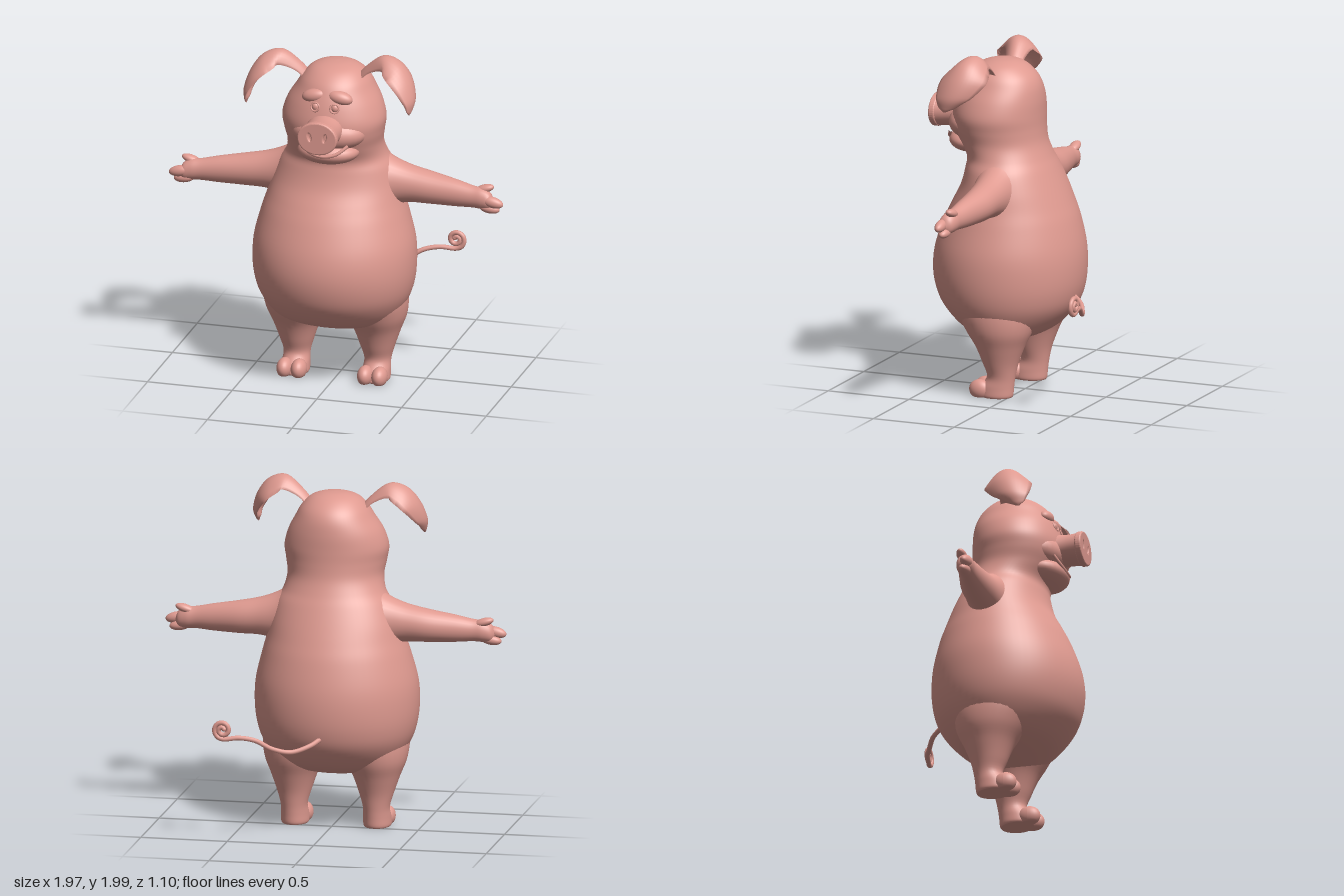
import * as THREE from 'three';

const skin = new THREE.MeshStandardMaterial({ color: 0xdf9a90 });
skin.name = 'pinkSkin';
const V = (x, y, z) => new THREE.Vector3(x, y, z);

function part(name, geometry, parent) {
  const mesh = new THREE.Mesh(geometry, skin);
  mesh.name = name;
  parent.add(mesh);
  return mesh;
}

// Smoothly resample rows of numbers, column by column
function smooth(rows, n) {
  const curves = rows[0].map((_, c) => new THREE.SplineCurve(rows.map(r => new THREE.Vector2(r[c], 0))));
  return Array.from({ length: n + 1 }, (_, i) => curves.map(c => c.getPoint(i / n).x));
}

// Skin a list of closed rings, cap both ends, and turn the faces outwards
function skinRings(rings) {
  const m = rings[0].length, pts = rings.flat(), index = [];
  for (let i = 0; i < rings.length - 1; i++) {
    for (let j = 0; j < m; j++) {
      const a = i * m + j, b = i * m + (j + 1) % m;
      index.push(a, b, a + m, b, b + m, a + m);
    }
  }
  [0, rings.length - 1].forEach((r, end) => {
    const c = pts.length;
    const mid = rings[r].reduce((s, p) => s.add(p), V(0, 0, 0)).divideScalar(m);
    pts.push(mid);
    for (let j = 0; j < m; j++) {
      const a = r * m + j, b = r * m + (j + 1) % m;
      index.push(...(end ? [a, b, c] : [b, a, c]));
    }
  });
  let volume = 0;
  for (let i = 0; i < index.length; i += 3) {
    volume += pts[index[i]].dot(V(0, 0, 0).crossVectors(pts[index[i + 1]], pts[index[i + 2]]));
  }
  if (volume < 0) index.reverse();
  const g = new THREE.BufferGeometry().setFromPoints(pts);
  g.setIndex(index);
  g.computeVertexNormals();
  return g;
}

// Elliptical loft; place(row, cos, sin) gives a point of the ring
function loft(rows, n, sides, place) {
  return skinRings(smooth(rows, n).map(r => Array.from({ length: sides }, (_, j) => {
    const a = j / sides * Math.PI * 2;
    return place(r, Math.cos(a), Math.sin(a));
  })));
}

function blob(name, parent, [x, y, z], [rx, ry, rz], tilt = 0) {
  const mesh = part(name, new THREE.SphereGeometry(1, 32, 20), parent);
  mesh.position.set(x, y, z);
  mesh.scale.set(rx, ry, rz);
  mesh.rotation.z = tilt;
  return mesh;
}

function tube(name, parent, points, radius, segments = 32) {
  return part(name, new THREE.TubeGeometry(new THREE.CatmullRomCurve3(points), segments, radius, 10), parent);
}

function addFace(group) {
  const face = new THREE.Group();
  face.name = 'face';
  face.position.x = 0.013;
  group.add(face);

  // Muzzle above, lower jaw below, with a smiling lip between
  blob('muzzle', face, [0, 1.55, 0.29], [0.22, 0.11, 0.15]);
  blob('lowerJaw', face, [0, 1.44, 0.305], [0.18, 0.075, 0.138]);
  tube('smile', face, [V(-0.14, 1.505, 0.395), V(-0.075, 1.457, 0.428), V(0, 1.442, 0.438),
    V(0.075, 1.457, 0.428), V(0.14, 1.505, 0.395)], 0.01);

  // Snout: flared stem and a disc pierced by two nostrils
  part('snout', loft([[0.34, 0.115, 0.1], [0.43, 0.106, 0.088], [0.49, 0.108, 0.089], [0.525, 0.112, 0.094]], 12, 40,
    ([z, rx, ry], c, s) => V(rx * c, 1.585 + ry * s, z)), face);
  const disc = new THREE.Shape().absellipse(0, 0, 0.108, 0.088, 0, Math.PI * 2);
  for (const s of [-1, 1]) {
    disc.holes.push(new THREE.Path().absellipse(s * 0.045, 0.008, 0.017, 0.032, 0, Math.PI * 2, true, -s * 0.2));
  }
  part('snoutDisc', new THREE.ExtrudeGeometry(disc, {
    depth: 0.02, bevelSize: 0.009, bevelThickness: 0.009, bevelSegments: 4, curveSegments: 24
  }), face).position.set(0, 1.585, 0.519);

  // Eyes: small domes inside thin lids, below soft brows
  for (const s of [-1, 1]) {
    blob('eye', face, [s * 0.057, 1.718, 0.38], [0.02, 0.022, 0.014]);
    const lid = part('eyelid', new THREE.TorusGeometry(0.025, 0.005, 8, 28), face);
    lid.position.set(s * 0.057, 1.718, 0.386);
    lid.rotation.set(-0.25, s * 0.2, 0);
    blob('brow', face, [s * 0.075, 1.77, 0.335], [0.075, 0.04, 0.042], -s * 0.2);
  }
}

// Drooping cupped ear: crescent sections along an arching path
function addEar(group, s) {
  const rows = smooth([
    [0.13, 1.84, 0.15, 0.05, 0.03], [0.2, 1.92, 0.16, 0.06, 0.04], [0.3, 1.992, 0.18, 0.095, 0.075],
    [0.4, 1.968, 0.195, 0.125, 0.09], [0.47, 1.885, 0.21, 0.14, 0.075], [0.505, 1.78, 0.245, 0.105, 0.045],
    [0.497, 1.715, 0.275, 0.055, 0.02], [0.485, 1.69, 0.29, 0.01, 0.004]], 40);
  const n = 14;
  const rings = rows.map((r, i) => {
    const a = rows[Math.max(i - 1, 0)], b = rows[Math.min(i + 1, rows.length - 1)];
    const dx = b[0] - a[0], dy = b[1] - a[1], len = Math.hypot(dx, dy);
    const ring = [];
    for (let k = 0; k < 2 * n; k++) {
      const u = k <= n ? -1 + 2 * k / n : 3 - 2 * k / n;
      const drop = r[4] * u * u + (k > n ? 0.032 : 0) * (1 - u * u) * Math.min(1, r[3] / 0.06);
      ring.push(V(s * (r[0] + dy / len * drop), r[1] - dx / len * drop, r[2] + u * r[3]));
    }
    return ring;
  });
  const ear = part(s > 0 ? 'leftEar' : 'rightEar', skinRings(rings), group);
  if (s < 0) ear.position.set(0.005, -0.022, 0);
}

function addArm(group, s) {
  const arm = new THREE.Group();
  arm.name = s > 0 ? 'leftArm' : 'rightArm';
  group.add(arm);
  part('armAndPalm', loft([
    [0.12, 1.2, 0.07, 0.23, 0.2], [0.24, 1.205, 0.068, 0.185, 0.15], [0.32, 1.2, 0.062, 0.142, 0.118],
    [0.42, 1.193, 0.06, 0.11, 0.1], [0.55, 1.18, 0.062, 0.094, 0.088], [0.7, 1.168, 0.075, 0.078, 0.066],
    [0.8, 1.16, 0.085, 0.064, 0.052], [0.86, 1.155, 0.09, 0.062, 0.05], [0.905, 1.145, 0.097, 0.048, 0.04],
    [0.925, 1.14, 0.1, 0.01, 0.01]], 48, 28,
  ([x, y, z, ry, rz], c, t) => V(s * x, y + ry * c, z + rz * t)), arm);
  // Thumb and two hoof-like fingers
  blob('thumb', arm, [s * 0.865, 1.21, 0.075], [0.058, 0.024, 0.03], s * 0.3);
  blob('upperFinger', arm, [s * 0.922, 1.147, 0.115], [0.066, 0.032, 0.03], -s * 0.2);
  blob('lowerFinger', arm, [s * 0.9, 1.105, 0.1], [0.062, 0.029, 0.032], -s * 0.15);
}

function addLeg(group, s) {
  const leg = new THREE.Group();
  leg.name = s > 0 ? 'leftLeg' : 'rightLeg';
  leg.position.x = -0.01;
  group.add(leg);
  part('legAndFoot', loft([
    [0, 0.238, 0.08, 0.074, 0.095], [0.015, 0.238, 0.08, 0.08, 0.102], [0.06, 0.238, 0.072, 0.079, 0.098],
    [0.12, 0.238, 0.048, 0.077, 0.082], [0.2, 0.238, 0.052, 0.1, 0.104], [0.3, 0.238, 0.055, 0.135, 0.145],
    [0.4, 0.232, 0.065, 0.178, 0.2], [0.52, 0.215, 0.085, 0.205, 0.24], [0.68, 0.2, 0.1, 0.2, 0.23]], 40, 32,
  ([y, x, z, rx, rz], c, t) => V(s * (x + rx * c), y, z + rz * t)), leg);
  // Cloven toes, flattened where they meet the ground
  for (const k of [-1, 1]) {
    const g = new THREE.SphereGeometry(1, 28, 18);
    g.scale(0.045, 0.058, 0.066);
    g.translate(s * 0.238 + k * 0.042, 0.042, 0.16);
    const p = g.attributes.position;
    for (let i = 0; i < p.count; i++) p.setY(i, Math.max(p.getY(i), 0));
    g.computeVertexNormals();
    part('toe', g, leg);
  }
}

export function createModel() {
  const pig = new THREE.Group();
  pig.name = 'pig';

  // Body and head in one skin: height, centre x, half width, front z, back z
  part('bodyAndHead', loft([
    [0.308, -0.012, 0.01, 0.07, 0.05], [0.316, -0.012, 0.15, 0.16, -0.03], [0.345, -0.012, 0.28, 0.26, -0.115],
    [0.4, -0.012, 0.36, 0.37, -0.2], [0.5, -0.012, 0.425, 0.465, -0.285], [0.6, -0.012, 0.458, 0.512, -0.323],
    [0.72, -0.012, 0.47, 0.53, -0.336], [0.85, -0.012, 0.462, 0.513, -0.328], [1.0, -0.012, 0.425, 0.46, -0.295],
    [1.1, -0.01, 0.395, 0.412, -0.26], [1.2, -0.006, 0.368, 0.36, -0.22], [1.3, 0, 0.332, 0.332, -0.177],
    [1.37, 0.002, 0.292, 0.328, -0.145], [1.45, 0.003, 0.276, 0.375, -0.117], [1.53, 0.003, 0.288, 0.41, -0.107],
    [1.61, 0.003, 0.298, 0.415, -0.105], [1.7, 0.004, 0.272, 0.395, -0.103], [1.78, 0.008, 0.226, 0.365, -0.09],
    [1.84, 0.01, 0.19, 0.33, -0.058], [1.89, 0.01, 0.14, 0.27, 0], [1.915, 0.01, 0.075, 0.2, 0.06],
    [1.922, 0.01, 0.006, 0.135, 0.125]], 110, 64,
  ([y, x, w, f, b], c, t) => V(x + w * c, y, (f + b) / 2 + (f - b) / 2 * t)), pig);

  addFace(pig);
  for (const s of [-1, 1]) {
    addEar(pig, s);
    addArm(pig, s);
    addLeg(pig, s);
  }

  // Wavy tail ending in a spiral curl
  const path = [V(0, 0.575, -0.3), V(0.05, 0.545, -0.365), V(0.15, 0.516, -0.42), V(0.25, 0.54, -0.458),
    V(0.34, 0.59, -0.487), V(0.43, 0.607, -0.51)];
  for (let i = 0; i <= 16; i++) {
    const a = -Math.PI / 2 + i * 0.65, r = 0.054 - i * 0.0027;
    path.push(V(0.52 + r * Math.cos(a), 0.654 + r * Math.sin(a), -0.528 - i * 0.0005));
  }
  tube('tail', pig, path, 0.014, 140);
  blob('tailTip', pig, path[path.length - 1].toArray(), [0.014, 0.014, 0.014]);

  return pig;
}
